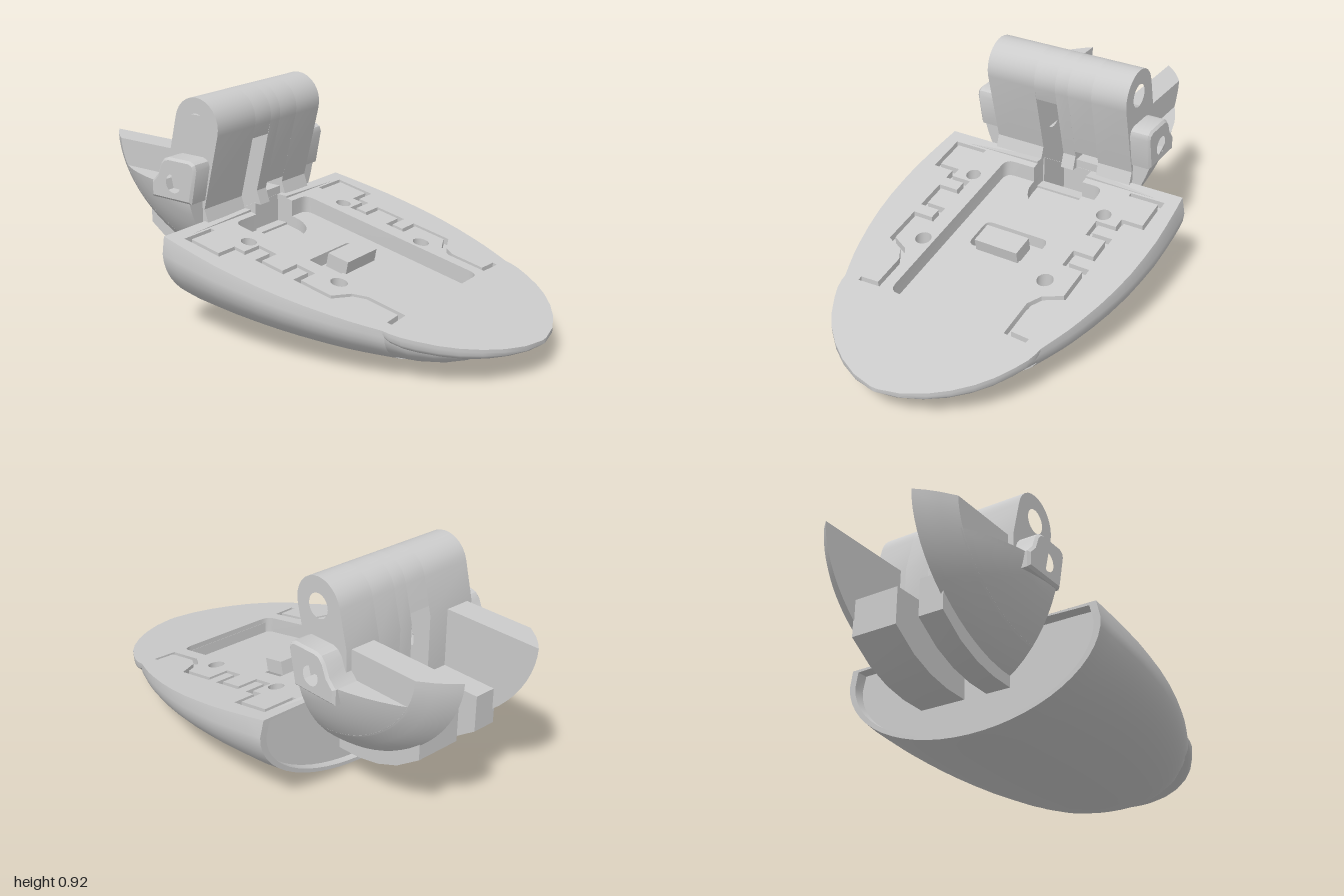
import * as THREE from 'three';
import { toCreasedNormals } from 'three/addons/utils/BufferGeometryUtils.js';

const solid = new THREE.MeshStandardMaterial({ color: 0xcccccc });
const shell = new THREE.MeshStandardMaterial({ color: 0xcccccc, side: THREE.DoubleSide });
const V = (x, y, z) => new THREE.Vector3(x, y, z);
const P = (x, y) => new THREE.Vector2(x, y);

// piecewise linear lookup
function at(x, table) {
  let i = 0;
  while (i < table.length - 2 && x > table[i + 1][0]) i++;
  const [[x0, a], [x1, b]] = [table[i], table[i + 1]];
  return a + (b - a) * THREE.MathUtils.clamp((x - x0) / (x1 - x0), 0, 1);
}

// skin through rings of equal length, turned outwards by its signed volume
function loft(rings, { closed = true, capped = true } = {}) {
  const tris = [], n = rings[0].length;
  for (let i = 0; i < rings.length - 1; i++) {
    for (let j = 0; j < (closed ? n : n - 1); j++) {
      const k = (j + 1) % n, a = rings[i], b = rings[i + 1];
      tris.push([a[j], a[k], b[k]], [a[j], b[k], b[j]]);
    }
  }
  if (capped) [rings[0], rings[rings.length - 1]].forEach((r, e) => {
    const c = r.reduce((s, p) => s.add(p), V(0, 0, 0)).divideScalar(n);
    r.forEach((p, j) => tris.push(e ? [c, p, r[(j + 1) % n]] : [c, r[(j + 1) % n], p]));
  });
  const volume = tris.reduce((s, [a, b, c]) => s + a.dot(b.clone().cross(c)), 0);
  const pts = tris.flatMap(([a, b, c]) => (volume < 0 ? [a, c, b] : [a, b, c]));
  return toCreasedNormals(new THREE.BufferGeometry().setFromPoints(pts), 0.55);
}

// x-y outline extruded from z0 to z1, with round holes
function slab(pts, z0, z1, holes = [], bevel = 0) {
  const s = new THREE.Shape(pts);
  for (const [x, y, r] of holes) s.holes.push(new THREE.Path().absarc(x, y, r, 0, Math.PI * 2, true));
  const g = new THREE.ExtrudeGeometry(s, {
    depth: z1 - z0 - 2 * bevel, curveSegments: 14, bevelEnabled: bevel > 0,
    bevelSize: bevel, bevelThickness: bevel, bevelOffset: -bevel, bevelSegments: 1,
  });
  g.translate(0, 0, z0 + bevel);
  return toCreasedNormals(g, 0.5);
}

// sloping deck: plan outlines are projected on to it at a given depth
const deckY = x => 0.335 - 0.198 * x;
function deckFace(outline, depth, holes = []) {
  const s = new THREE.Shape(outline);
  holes.forEach(h => s.holes.push(new THREE.Path(h)));
  const g = new THREE.ShapeGeometry(s), p = g.attributes.position;
  for (let i = 0; i < p.count; i++) p.setXYZ(i, p.getX(i), deckY(p.getX(i)) - depth, -p.getY(i));
  g.computeVertexNormals();
  return g;
}
function deckWall(outline, d0, d1, closed = true) {
  const ring = d => outline.map(p => V(p.x, deckY(p.x) - d, -p.y));
  return loft([ring(d0), ring(d1)], { closed, capped: false });
}
const circle = (x, y, r, n = 20) =>
  Array.from({ length: n }, (_, i) => P(x + r * Math.cos(i / n * 2 * Math.PI), y + r * Math.sin(i / n * 2 * Math.PI)));
// rounded rectangle, starting and ending on its x0 side
function rounded(x0, x1, w, r) {
  const s = new THREE.Shape();
  s.moveTo(x0, -w + r).quadraticCurveTo(x0, -w, x0 + r, -w).lineTo(x1 - r, -w).quadraticCurveTo(x1, -w, x1, -w + r)
    .lineTo(x1, w - r).quadraticCurveTo(x1, w, x1 - r, w).lineTo(x0 + r, w).quadraticCurveTo(x0, w, x0, w - r);
  return s.getPoints(4);
}
// mitred ribbon around an open path
function ribbon(path, w) {
  const side = path.map((p, i) => {
    const a = p.clone().sub(path[i - 1] ?? p).normalize(), b = (path[i + 1] ?? p).clone().sub(p).normalize();
    const t = a.clone().add(b).normalize();
    return P(-t.y, t.x).multiplyScalar(w / 2 / Math.max(0.5, Math.abs(t.dot(a.length() ? a : b))));
  });
  return [...path.map((p, i) => p.clone().add(side[i])),
    ...path.map((p, i) => p.clone().sub(side[i])).reverse()];
}

// plan half widths and heights along the hull
const hullW = [[-0.38, 0.583], [-0.25, 0.593], [-0.1, 0.598], [0.05, 0.592], [0.15, 0.581], [0.25, 0.563],
  [0.35, 0.539], [0.45, 0.508], [0.52, 0.481], [0.59, 0.452]];
const rimInset = [[-0.38, 0.015], [0, 0.01], [0.59, 0]];
const bellyY = [[-0.38, 0.02], [-0.3, 0.012], [0, 0.005], [0.4, 0], [0.6, 0.005], [0.74, 0.02], [0.81, 0.045]];
const halfEllipse = (x, w, top, bottom, power = 1, n = 28) => Array.from({ length: n + 1 }, (_, i) => {
  const a = Math.PI * i / n;
  return V(x, top - (top - bottom) * Math.abs(Math.sin(a)) ** power, w * Math.cos(a));
});
function hullRing(x) {
  const w = at(x, hullW), t = w - at(x, rimInset), yd = deckY(x);
  const yc = yd - at(x, [[-0.38, 0.07], [0.59, 0.025]]);
  const r = [V(x, yd, t), ...halfEllipse(x, w, yc, at(x, bellyY)), V(x, yd, -t)];
  if (x < -0.35) r.forEach(p => { p.x += 0.02 * (1 - p.y / 0.41); });
  return r;
}

// slice of the heel bowl at height z
function bowlSlice(z, top, sign) {
  const r = Math.sqrt(1 - (z / 0.43) ** 2), k = 1.12, pts = [];
  const a0 = Math.asin(((0.68 - top) / (0.55 * r)) ** (1 / k));
  for (let i = 0; i <= 18; i++) {
    const a = a0 + (Math.PI / 2 - a0) * i / 18;
    pts.push(V(-0.4 - 0.67 * r * Math.abs(Math.cos(a)) ** k, 0.68 - 0.55 * r * Math.sin(a) ** k, z * sign));
  }
  pts.push(V(-0.39, pts[18].y, z * sign), V(-0.39, 0.52, z * sign), V(-0.55, 0.52, z * sign), V(-0.56, top, z * sign));
  return pts;
}

// hinge outline from a chosen bottom height up to the round top
function hingeOutline(bottom) {
  const pts = [P(bottom < 0.68 ? -0.56 : -0.55, bottom)];
  if (bottom < 0.68) pts.push(P(-0.56, 0.68));
  for (let i = 0; i <= 14; i++) {
    const a = THREE.MathUtils.degToRad(168 - i * 182 / 14);
    pts.push(P(-0.41 + 0.115 * Math.cos(a), 0.805 + 0.115 * Math.sin(a)));
  }
  if (bottom < 0.46) pts.push(P(-0.38, 0.46), P(-0.36, bottom));
  else pts.push(P(-0.38 + (bottom - 0.46) * 0.25, bottom));
  return pts;
}

export function createModel() {
  const model = new THREE.Group();
  const add = (name, geo, mat = solid) => {
    const m = new THREE.Mesh(geo, mat);
    m.name = name;
    model.add(m);
    return m;
  };

  // hull sides and belly
  const xs = [-0.38, -0.3, -0.2, -0.1, 0, 0.1, 0.2, 0.3, 0.4, 0.46, 0.52, 0.59];
  add('hull', loft(xs.map(hullRing), { closed: false, capped: false }), shell);
  // hollow back end with a notch for the channel
  const back = [...hullRing(-0.38), V(-0.38, 0.41, -0.14), V(-0.38, 0.29, -0.14), V(-0.38, 0.29, 0.1), V(-0.38, 0.41, 0.1)];
  const inset = back.map((p, i) => (i < back.length - 4 ? V(p.x, 0.24 + (p.y - 0.24) * 0.93, p.z * 0.95) : p.clone()));
  const deep = inset.map(p => V(-0.33, p.y, p.z));
  add('hullBackRim', loft([back, inset, deep], { capped: false }), shell);
  add('hullBack', new THREE.ShapeGeometry(new THREE.Shape(deep.map(p => P(p.z, p.y))))
    .rotateY(-Math.PI / 2).translate(-0.33, 0, 0), shell);
  // belly under the toe and the overhanging toe lip
  add('toeBelly', loft([[0.57, 0.455, 0.2], [0.65, 0.405, 0.165], [0.72, 0.335, 0.135], [0.77, 0.255, 0.11],
    [0.81, 0.15, 0.09]].map(([x, w, t]) => halfEllipse(x, w, t, at(x, bellyY)))));
  add('toeLip', loft([[0.58, 0.455, 0.05], [0.61, 0.452, 0.085], [0.65, 0.441, 0.095], [0.7, 0.417, 0.095],
    [0.77, 0.376, 0.088], [0.83, 0.328, 0.08], [0.89, 0.263, 0.067], [0.94, 0.19, 0.05], [0.98, 0.105, 0.032],
    [1, 0.015, 0.018]].map(([x, w, d]) =>
    [V(x, deckY(x), w), ...halfEllipse(x, w, deckY(x) - 0.012, deckY(x) - d, 0.65), V(x, deckY(x), -w)])));

  // deck recesses: pocket open to the back, castellated seams, screw holes
  const body = rounded(-0.3, 0.575, 0.24, 0.04);
  const pocket = [P(-0.379, -0.1), P(-0.3, -0.1), ...body, P(-0.3, 0.14), P(-0.379, 0.14)];
  const seam = [[-0.31, 0.36], [-0.31, 0.505], [-0.15, 0.505], [-0.15, 0.41], [-0.1, 0.41], [-0.1, 0.32], [-0.03, 0.32],
    [-0.03, 0.41], [0.09, 0.41], [0.09, 0.32], [0.16, 0.32], [0.16, 0.41], [0.32, 0.41], [0.36, 0.33], [0.41, 0.3],
    [0.565, 0.3], [0.57, 0.39]];
  const cuts = [];
  for (const s of [1, -1]) {
    cuts.push([ribbon(seam.map(([x, y]) => P(x, y * s)), 0.02), 0.03]);
    cuts.push([circle(-0.155, 0.32 * s, 0.032), 0.07], [circle(0.27, 0.29 * s, 0.034), 0.07]);
  }
  const edge = xs.map(x => P(x, at(x, hullW) - at(x, rimInset)));
  const outline = [...edge, ...edge.map(p => P(p.x, -p.y)).reverse()];
  add('deck', deckFace(outline, 0, [pocket, ...cuts.map(c => c[0])]), shell);
  for (const [c, d] of cuts) {
    add('recessWall', deckWall(c, 0, d), shell);
    add('recessFloor', deckFace(c, d), shell);
  }

  // pocket floor with a round-ended channel running out to the back and a latch slot
  const arc = Array.from({ length: 17 }, (_, i) => {
    const a = -Math.PI / 2 + Math.PI * i / 16;
    return P(-0.28 + 0.12 * Math.cos(a), 0.02 + 0.12 * Math.sin(a));
  });
  const channel = [P(-0.379, -0.1), ...arc, P(-0.379, 0.14)];
  const slot = rounded(0, 0.15, 0.15, 0.03);
  add('pocketWall', deckWall(pocket, 0, 0.07, false), shell);
  add('pocketFloor', deckFace([P(-0.3, -0.1), ...body, P(-0.3, 0.14), ...arc.slice().reverse()], 0.07, [slot]), shell);
  add('channelWall', deckWall(channel, 0.07, 0.12, false), shell);
  add('channelFloor', deckFace(channel, 0.12), shell);
  add('slotWall', deckWall(slot, 0.07, 0.12), shell);
  add('slotFloor', deckFace(slot, 0.12), shell);
  const latch = add('latch', new THREE.BoxGeometry(0.1, 0.06, 0.2));
  latch.position.set(0.12, 0.265, 0);
  latch.rotation.z = -0.196;

  // hinge block, open in the middle
  const pin = [-0.41, 0.805, 0.05], lowerPin = [-0.465, 0.575, 0.05];
  for (const [z0, z1, bottom] of [[-0.33, -0.17, 0.4], [-0.17, -0.06, 0.485], [-0.06, 0, 0.4], [0, 0.1, 0.72], [0.1, 0.33, 0.4]])
    add('hinge', slab(hingeOutline(bottom), z0, z1, bottom < 0.7 ? [pin, lowerPin] : [pin]));

  // heel lobes with raised inner walls, and the hinge ears
  const ear = [[-0.59, 0.5], [-0.59, 0.565], [-0.555, 0.6], [-0.535, 0.65], [-0.515, 0.672], [-0.49, 0.68], [-0.375, 0.68],
    [-0.352, 0.668], [-0.345, 0.645], [-0.375, 0.5]].map(([x, y]) => P(x, y));
  for (const s of [1, -1]) {
    add('heelWall', loft([0.195, 0.23, 0.265, 0.305].map(z => bowlSlice(z, 0.68, s))));
    add('heelBowl', loft([0.3, 0.325, 0.35, 0.37, 0.39, 0.405].map(z => bowlSlice(z, 0.565, s))));
    add('hingeEar', slab(ear, s > 0 ? 0.195 : -0.418, s > 0 ? 0.418 : -0.195, [lowerPin], 0.01));
  }

  // inner keels either side of the open slot
  const keel = [[-0.81, 0.44], [-0.81, 0.29], [-0.7, 0.215], [-0.6, 0.175], [-0.5, 0.155], [-0.39, 0.15], [-0.39, 0.44]]
    .map(([x, y]) => P(x, y));
  add('keelRight', slab(keel, -0.2, 0));
  add('keelLeft', slab(keel, 0.1, 0.205));
  return model;
}
